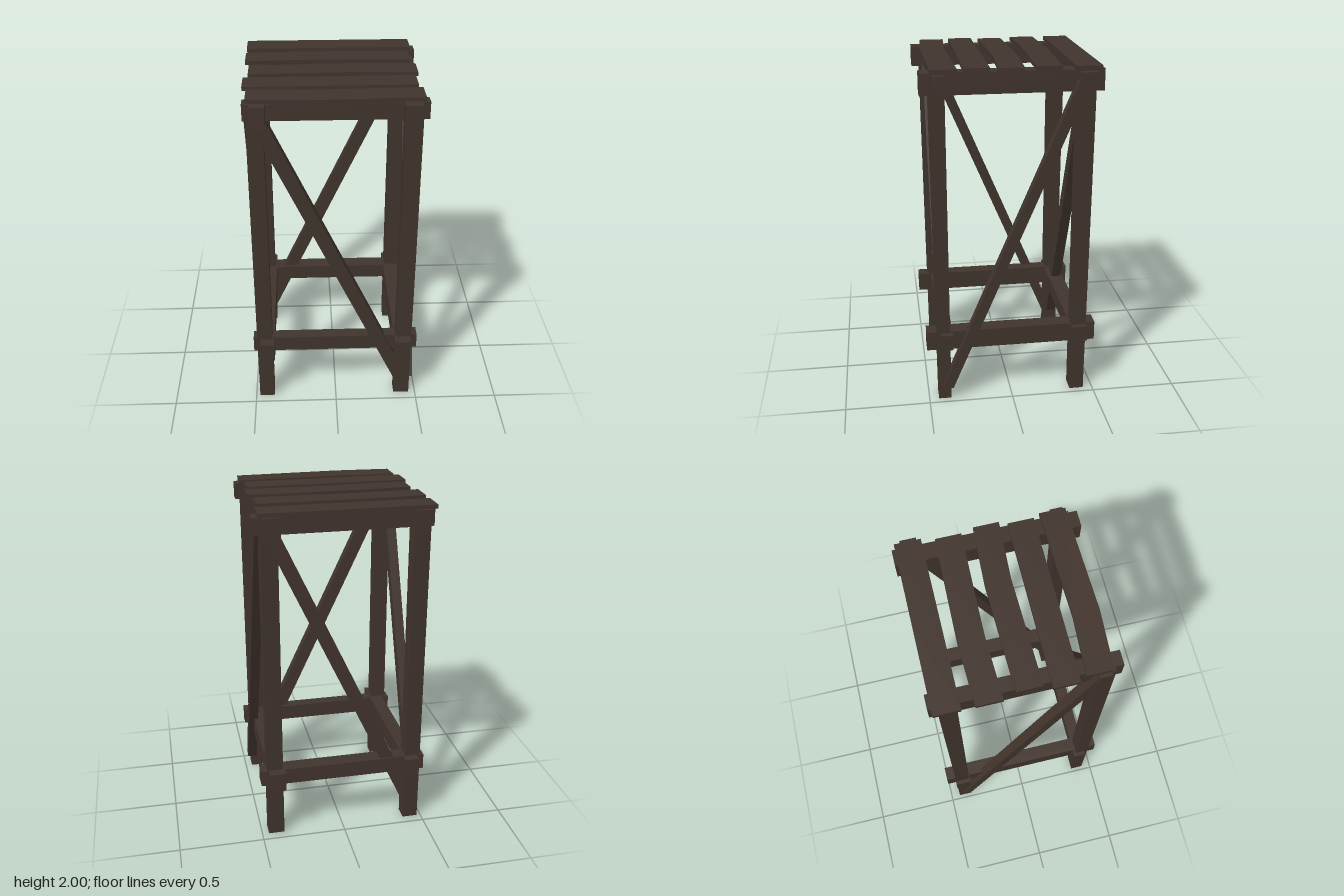
import * as THREE from 'three';

export function createModel() {
  const group = new THREE.Group();
  group.name = 'stool';
  const wood = new THREE.MeshStandardMaterial({ color: 0x41342d });
  wood.name = 'darkWood';
  wood.flatShading = true;

  const add = (name, geometry) => {
    const mesh = new THREE.Mesh(geometry, wood);
    mesh.name = name;
    group.add(mesh);
    return mesh;
  };

  // Box given by its limits on each axis
  const beam = (name, [x0, x1], [y0, y1], [z0, z1]) => {
    const g = new THREE.BoxGeometry(x1 - x0, y1 - y0, z1 - z0);
    g.translate((x0 + x1) / 2, (y0 + y1) / 2, (z0 + z1) / 2);
    return add(name, g);
  };

  // Legs: the outer z face leans in slightly towards the foot
  for (const [sx, xs] of [['Right', [-0.477, -0.385]], ['Left', [0.365, 0.46]]]) {
    for (const [sz, zs] of [['front', [0.368, 0.457]], ['back', [-0.458, -0.36]]]) {
      const leg = beam(`${sz}${sx}Leg`, xs, [0, 1.975], zs);
      const p = leg.geometry.attributes.position;
      for (let i = 0; i < p.count; i++) {
        const z = p.getZ(i);
        if (p.getY(i) < 1 && Math.abs(z) > 0.4) p.setZ(i, z - Math.sign(z) * 0.014);
      }
      leg.geometry.computeVertexNormals();
    }
  }

  // Rails running side to side
  beam('frontUpperRail', [-0.495, 0.495], [1.875, 1.97], [0.365, 0.435]);
  beam('backUpperRail', [-0.495, 0.5], [1.875, 1.97], [-0.455, -0.365]);
  beam('frontLowerRail', [-0.5, 0.495], [0.345, 0.44], [0.352, 0.425]);
  beam('backLowerRail', [-0.5, 0.495], [0.345, 0.44], [-0.45, -0.355]);

  // Rails running front to back
  for (const [side, x0, x1] of [['right', -0.455, -0.372], ['left', 0.355, 0.45]]) {
    beam(`${side}UpperRail`, [x0, x1], [1.858, 1.978], [-0.505, 0.503]);
    beam(`${side}LowerRail`, [x0, x1], [0.33, 0.445], [-0.503, 0.505]);
  }

  // Diagonal braces, one on each side
  const brace = (name, a, b, width, depth, alongZ) => {
    const from = new THREE.Vector3(...a), to = new THREE.Vector3(...b);
    const dir = to.clone().sub(from);
    const g = alongZ
      ? new THREE.BoxGeometry(depth, dir.length(), width)
      : new THREE.BoxGeometry(width, dir.length(), depth);
    const mesh = add(name, g);
    mesh.position.copy(from).add(to).multiplyScalar(0.5);
    mesh.quaternion.setFromUnitVectors(new THREE.Vector3(0, 1, 0), dir.normalize());
  };
  brace('frontBrace', [0.41, 0.1, 0.407], [-0.43, 1.9, 0.407], 0.077, 0.06, false);
  brace('backBrace', [-0.43, 0.1, -0.407], [0.41, 1.9, -0.407], 0.077, 0.06, false);
  brace('leftBrace', [0.455, 0.09, 0.385], [0.455, 1.92, -0.39], 0.06, 0.058, true);
  brace('rightBrace', [-0.459, 0.09, -0.385], [-0.459, 1.92, 0.39], 0.06, 0.058, true);

  // Seat slats: x ends, z edges, and a kink (position, sideways shift)
  const slats = [
    [-0.5, 0.47, -0.487, -0.342, 0, 0],
    [-0.5, 0.45, -0.271, -0.128, -0.145, -0.014],
    [-0.475, 0.47, -0.061, 0.08, 0.13, -0.016],
    [-0.5, 0.45, 0.123, 0.265, 0, 0],
    [-0.475, 0.47, 0.3, 0.443, -0.145, 0.018],
  ];
  slats.forEach(([x0, x1, z0, z1, kink, shift], i) => {
    const outline = [[x0, z0], [kink, z0 + shift], [x1, z0], [x1, z1], [kink, z1 + shift], [x0, z1]];
    const shape = new THREE.Shape(outline.map(([x, z]) => new THREE.Vector2(x, -z)));
    const g = new THREE.ExtrudeGeometry(shape, { depth: 0.023, bevelEnabled: false });
    g.rotateX(-Math.PI / 2).translate(0, 1.977, 0);
    add(`seatSlat${i + 1}`, g);
  });

  return group;
}
